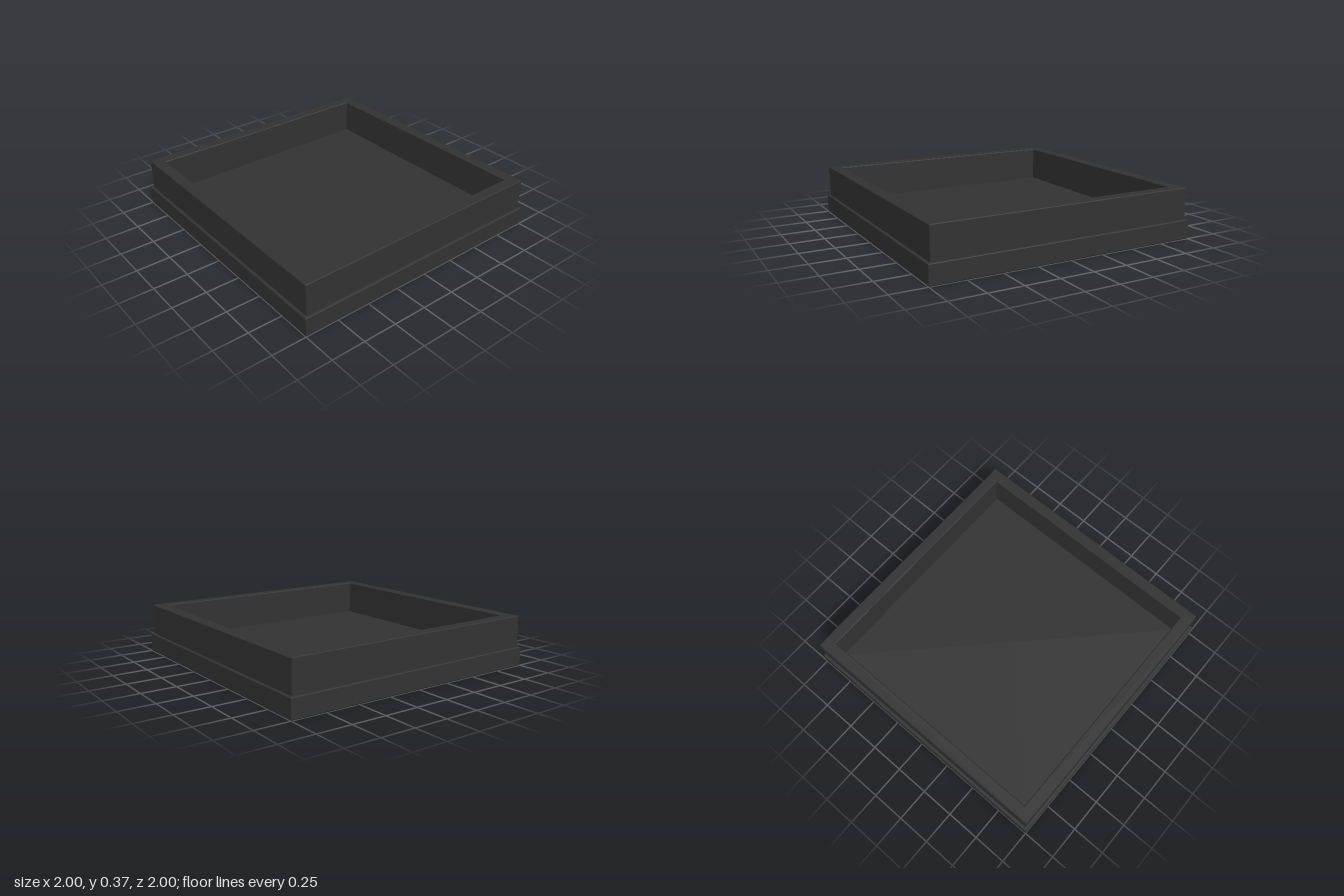
import * as THREE from 'three';

const material = new THREE.MeshStandardMaterial({ color: 0x333333, flatShading: true });

// Sweeps a [half-width, height] profile around a square
function squareSweep(name, profile) {
  const points = profile.map(([half, y]) => new THREE.Vector2(half * Math.SQRT2, y));
  const geometry = new THREE.LatheGeometry(points, 4, Math.PI / 4).toNonIndexed();
  geometry.computeVertexNormals();
  const mesh = new THREE.Mesh(geometry, material);
  mesh.name = name;
  return mesh;
}

export function createModel() {
  const tray = new THREE.Group();
  tray.name = 'squareTray';

  const floorTop = 0.107, ceiling = 0.092, ledge = 0.065;
  const inner = 0.895, outer = 0.98, bevel = 0.005;

  tray.add(
    // Stepped recess under the tray
    squareSweep('undersideRecess', [
      [0, ceiling], [0.9, ceiling], [0.9, ledge], [0.92, ledge], [0.92, 0],
    ]),
    // Wider skirt around the foot
    squareSweep('baseSkirt', [
      [0.92, 0], [1 - bevel, 0], [1, bevel], [1, 0.14 - bevel], [1 - bevel, 0.14], [outer, 0.14],
    ]),
    // Upright walls with a flat rim
    squareSweep('wall', [
      [outer, 0.14], [outer, 0.37 - bevel], [outer - bevel, 0.37],
      [inner + bevel, 0.37], [inner, 0.37 - bevel], [inner, floorTop],
    ]),
    // Floor inside the tray
    squareSweep('floor', [[inner, floorTop], [0, floorTop]]),
  );
  return tray;
}
